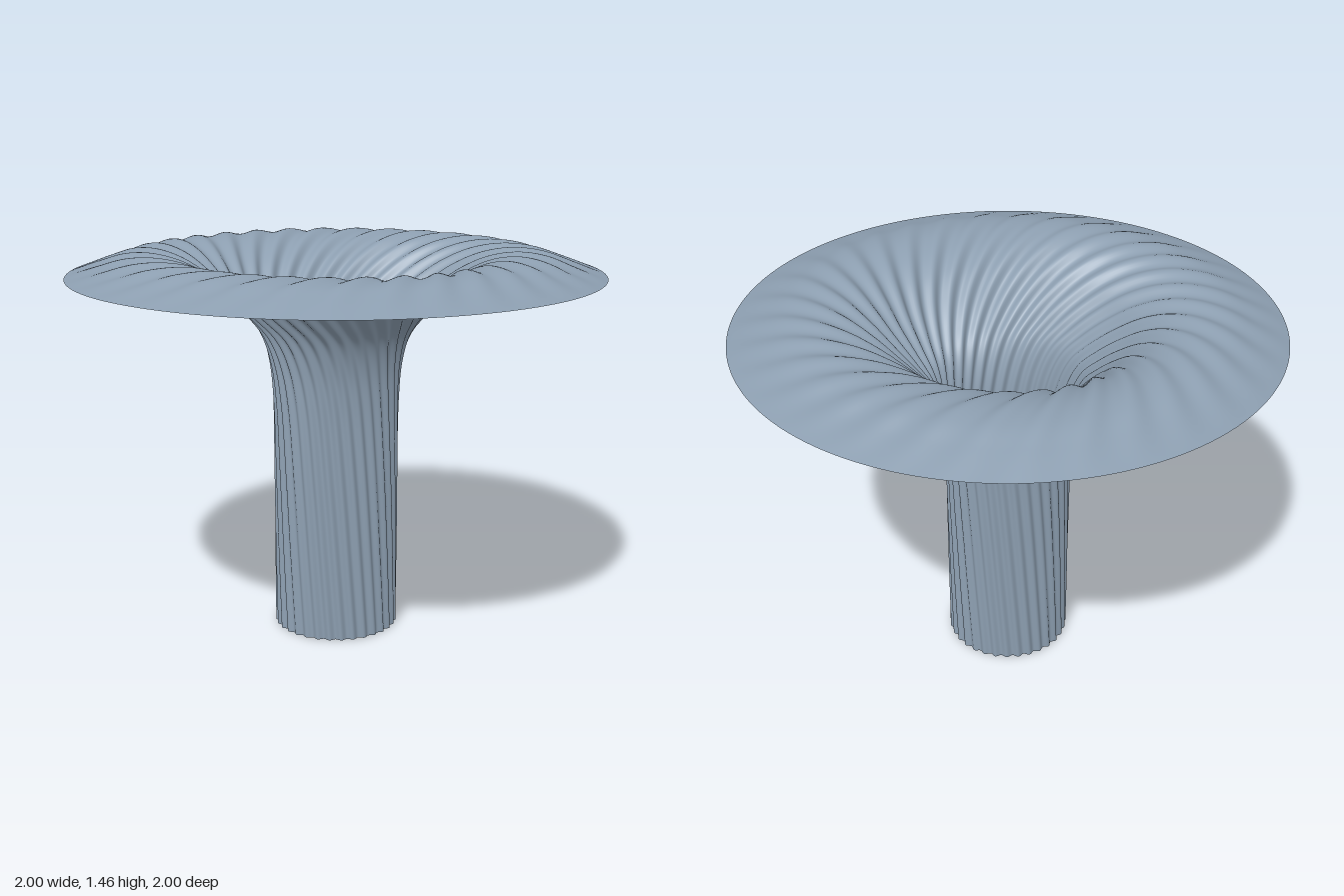
import * as THREE from 'three';

const RIDGES = 32;         // spiral flutes around the funnel
const AROUND = RIDGES * 10;
const ALONG = 120;

// Profile stations: radius, height, twist angle of the flutes
const profile = new THREE.CatmullRomCurve3([
  [0.232, 0, 0], [0.232, 0.3, 0.1], [0.232, 0.6, 0.2], [0.234, 0.9, 0.32],
  [0.245, 1.04, 0.42], [0.275, 1.15, 0.55], [0.335, 1.235, 0.72],
  [0.41, 1.315, 0.88], [0.49, 1.385, 1.02], [0.58, 1.434, 1.14],
  [0.68, 1.456, 1.24], [0.78, 1.45, 1.32], [0.88, 1.42, 1.38], [1, 1.38, 1.43],
].map(p => new THREE.Vector3(...p)));

// Thin fluted funnel skin; flutes are offset along the profile normal and fade at the rim
function flutedFunnel() {
  const positions = [], index = [];
  for (let i = 0; i <= ALONG; i++) {
    const t = i / ALONG;
    const { x: r, y, z: twist } = profile.getPoint(t);
    const a = profile.getPoint(Math.max(0, t - 0.001));
    const b = profile.getPoint(Math.min(1, t + 0.001));
    const normal = new THREE.Vector2(b.y - a.y, a.x - b.x).normalize();
    const depth = 0.035 * r * (1 - r);
    for (let j = 0; j < AROUND; j++) {
      const angle = j / AROUND * Math.PI * 2;
      const offset = depth * Math.cos(RIDGES * angle);
      const radius = r + normal.x * offset;
      const height = i === 0 ? 0 : y + normal.y * offset;
      positions.push(radius * Math.cos(angle + twist), height, radius * Math.sin(angle + twist));
      if (i < ALONG) {
        const next = (j + 1) % AROUND;
        const p = i * AROUND + j, q = i * AROUND + next;
        index.push(p, p + AROUND, q, q, p + AROUND, q + AROUND);
      }
    }
  }
  const geometry = new THREE.BufferGeometry();
  geometry.setAttribute('position', new THREE.Float32BufferAttribute(positions, 3));
  geometry.setIndex(index);
  geometry.computeVertexNormals();
  return geometry;
}

export function createModel() {
  const blueGrey = new THREE.MeshStandardMaterial({ color: 0x8c9eb0, side: THREE.DoubleSide });
  blueGrey.name = 'blueGrey';

  const funnel = new THREE.Mesh(flutedFunnel(), blueGrey);
  funnel.name = 'twistedFunnel';

  const group = new THREE.Group();
  group.name = 'flutedFunnel';
  group.add(funnel);
  return group;
}
